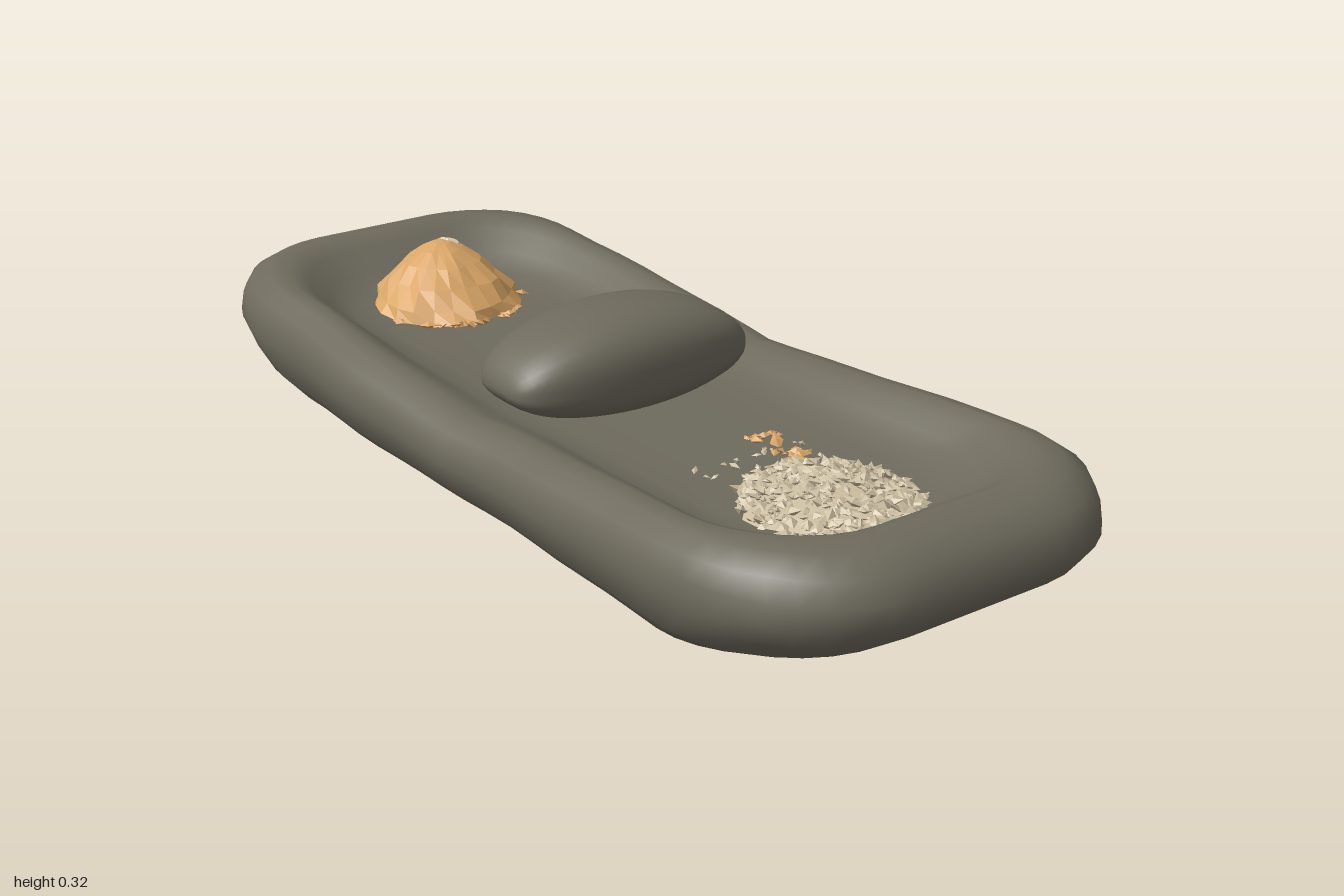
import * as THREE from 'three';
import { mergeGeometries, mergeVertices } from 'three/addons/utils/BufferGeometryUtils.js';

const FLOOR = 0.135;

function makeRandom(seed) {
  return () => {
    seed = (seed * 1664525 + 1013904223) % 4294967296;
    return seed / 4294967296;
  };
}

// Unit outline with elliptical corners, running from +x towards +z
function unitOutline(a = 0.27, b = 0.62) {
  const points = [];
  const corners = [[1, 1], [-1, 1], [-1, -1], [1, -1]];
  corners.forEach(([sx, sz], q) => {
    for (let i = 0; i <= 8; i++) {
      const t = (q + i / 8) * Math.PI / 2;
      points.push([sx * (1 - a) + a * Math.cos(t), sz * (1 - b) + b * Math.sin(t)]);
    }
    // straight run to the next corner
    const [ex, ez] = points[points.length - 1];
    const [nx, nz] = corners[(q + 1) % 4];
    const tx = q % 2 ? nx : nx * (1 - a), tz = q % 2 ? nz * (1 - b) : nz;
    const n = q % 2 ? 6 : 16;
    for (let i = 1; i < n; i++) points.push([ex + (tx - ex) * i / n, ez + (tz - ez) * i / n]);
  });
  return points;
}

// Rim dips towards the middle of the slab
const rimHeight = x => 0.172 + 0.063 * Math.min(1, Math.abs(x) / 0.85);

// Slab: rings from the underside, up the wall, over the rim and into the basin
function slabGeometry() {
  const bottom = 0.004;
  const rings = [ // half length, half width, base height, share of the rise to the rim
    [0, 0, bottom, 0], [0.6, 0.24, bottom, 0], [0.83, 0.36, bottom, 0.02],
    [0.91, 0.385, bottom, 0.17], [0.97, 0.4, bottom, 0.35], [1, 0.411, bottom, 0.53],
    [0.995, 0.406, bottom, 0.7], [0.975, 0.393, bottom, 0.86], [0.935, 0.365, bottom, 0.97],
    [0.885, 0.335, bottom, 1], [0.845, 0.305, FLOOR, 0.82], [0.8, 0.275, FLOOR, 0.45],
    [0.74, 0.24, FLOOR, 0.14], [0.64, 0.19, FLOOR, 0], [0.35, 0.1, FLOOR, 0], [0, 0, FLOOR, 0],
  ];
  const outline = unitOutline();
  const n = outline.length;
  const position = [], index = [];
  rings.forEach(([hx, hz, low, f], i) => {
    outline.forEach(([u, v], j) => {
      const x = u * hx;
      const lump = 1 + 0.014 * Math.sin(7 * x + 3 * v + 0.6) + 0.006 * Math.sin(19 * x + 2 * v);
      position.push(x, low + (rimHeight(x) - low) * f, v * hz * lump);
      if (i === rings.length - 1) return;
      const p = i * n + j, q = i * n + (j + 1) % n;
      index.push(p, p + n, q, q, p + n, q + n);
    });
  });
  const g = new THREE.BufferGeometry();
  g.setAttribute('position', new THREE.Float32BufferAttribute(position, 3));
  g.setIndex(index);
  g.computeVertexNormals();
  return g;
}

// Hand stone: a sphere drawn out along z with a squarish cross-section
function handStoneGeometry() {
  let g = new THREE.SphereGeometry(1, 32, 28).rotateX(Math.PI / 2);
  const p = g.attributes.position;
  for (let i = 0; i < p.count; i++) {
    const x = p.getX(i), y = p.getY(i), z = p.getZ(i);
    const c = Math.max(Math.hypot(x, y), 1e-6);
    const cx = x / c, cy = y / c;
    const k = (Math.abs(cx) ** 2.8 + Math.abs(cy) ** 2.8) ** (-1 / 2.8);
    const taper = c < 1e-4 ? 0 : Math.sqrt(c);
    p.setXYZ(i, cx * k * 0.135 * taper - 0.005,
      0.205 + cy * k * (cy > 0 ? 0.115 : 0.08) * (c < 1e-4 ? 0 : c),
      0.008 + z * 0.27);
  }
  g.deleteAttribute('uv');
  g.deleteAttribute('normal');
  g = mergeVertices(g, 1e-4);
  g.computeVertexNormals();
  return g;
}

// Heap with an uneven skirt; the top leans by (dx, dz)
function heapGeometry(profile, dx, dz) {
  const pts = profile.map(([r, y]) => new THREE.Vector2(r, y));
  const g = new THREE.LatheGeometry(pts, 22);
  const p = g.attributes.position;
  const top = profile[profile.length - 1][1];
  for (let i = 0; i < p.count; i++) {
    const x = p.getX(i), y = p.getY(i), z = p.getZ(i);
    const a = Math.atan2(z, x), t = y / top;
    const s = 1 + 0.05 * Math.sin(5 * a + 9 * t) + 0.03 * Math.sin(8 * a);
    p.setXYZ(i, x * s + dx * t, y, z * s + dz * t);
  }
  g.computeVertexNormals();
  return g;
}

// Many small crushed pieces joined in one geometry
function scatter(count, random, size, place) {
  const parts = [];
  const m = new THREE.Matrix4(), q = new THREE.Quaternion(), e = new THREE.Euler();
  for (let i = 0; i < count; i++) {
    const s = size * (0.6 + 0.8 * random());
    e.set((random() - 0.5) * 0.9, random() * Math.PI * 2, (random() - 0.5) * 0.9);
    m.compose(place(i), q.setFromEuler(e), new THREE.Vector3(s * 1.5, s * 0.6, s * 0.85));
    parts.push(new THREE.OctahedronGeometry(1).applyMatrix4(m));
  }
  return mergeGeometries(parts);
}

export function createModel() {
  const material = (name, color, flat = false) => {
    const m = new THREE.MeshStandardMaterial({ color, flatShading: flat });
    m.name = name;
    return m;
  };
  const stone = material('grey stone', 0x6e6a5d);
  const ochre = material('ochre meal', 0xd9a566, true);
  const pale = material('pale grain', 0xcbbda0, true);
  const cream = material('cream flour', 0xe6d6bb, true);

  const group = new THREE.Group();
  group.name = 'grindingStone';
  const add = (name, geometry, mat, x = 0, y = 0, z = 0) => {
    const mesh = new THREE.Mesh(geometry, mat);
    mesh.name = name;
    mesh.position.set(x, y, z);
    group.add(mesh);
  };
  const random = makeRandom(17);

  add('slab', slabGeometry(), stone);
  add('handStone', handStoneGeometry(), stone);

  // Ochre heap on the model's right, with a cream patch near its peak
  add('mealHeap', heapGeometry([[0.16, 0], [0.145, 0.025], [0.115, 0.06], [0.08, 0.092],
    [0.045, 0.115], [0.02, 0.127], [0, 0.13]], -0.03, -0.01), ochre, -0.64, FLOOR - 0.002, 0);
  add('flourPatch', new THREE.SphereGeometry(1, 8, 5).scale(0.042, 0.014, 0.03).rotateZ(0.35).rotateX(-0.5),
    cream, -0.69, 0.242, -0.035);

  // Pale crushed grain on the model's left
  add('grainBed', heapGeometry([[0.165, 0], [0.12, 0.022], [0.06, 0.036], [0, 0.04]], 0, 0),
    pale, 0.62, FLOOR - 0.002, 0.005);
  add('grains', scatter(420, random, 0.0105, () => {
    const a = random() * Math.PI * 2, r = Math.sqrt(random());
    return new THREE.Vector3(0.62 + 0.175 * r * Math.cos(a),
      FLOOR + 0.006 + 0.038 * (1 - r * r), 0.005 + 0.16 * r * Math.sin(a));
  }), pale);
  add('strayGrains', scatter(22, random, 0.007, () =>
    new THREE.Vector3(0.37 + 0.09 * random(), FLOOR + 0.004, -0.13 + 0.27 * random())), pale);

  // Ochre crumbs beside both heaps
  add('ochreCrumbs', scatter(18, random, 0.011, () =>
    new THREE.Vector3(0.32 + 0.15 * random(), FLOOR + 0.005, -0.11 + 0.06 * random())), ochre);
  add('heapCrumbs', scatter(20, random, 0.01, () => {
    const a = (random() - 0.5) * 2.6;
    return new THREE.Vector3(-0.64 + 0.165 * Math.cos(a), FLOOR + 0.005, 0.165 * Math.sin(a));
  }), ochre);
  return group;
}
